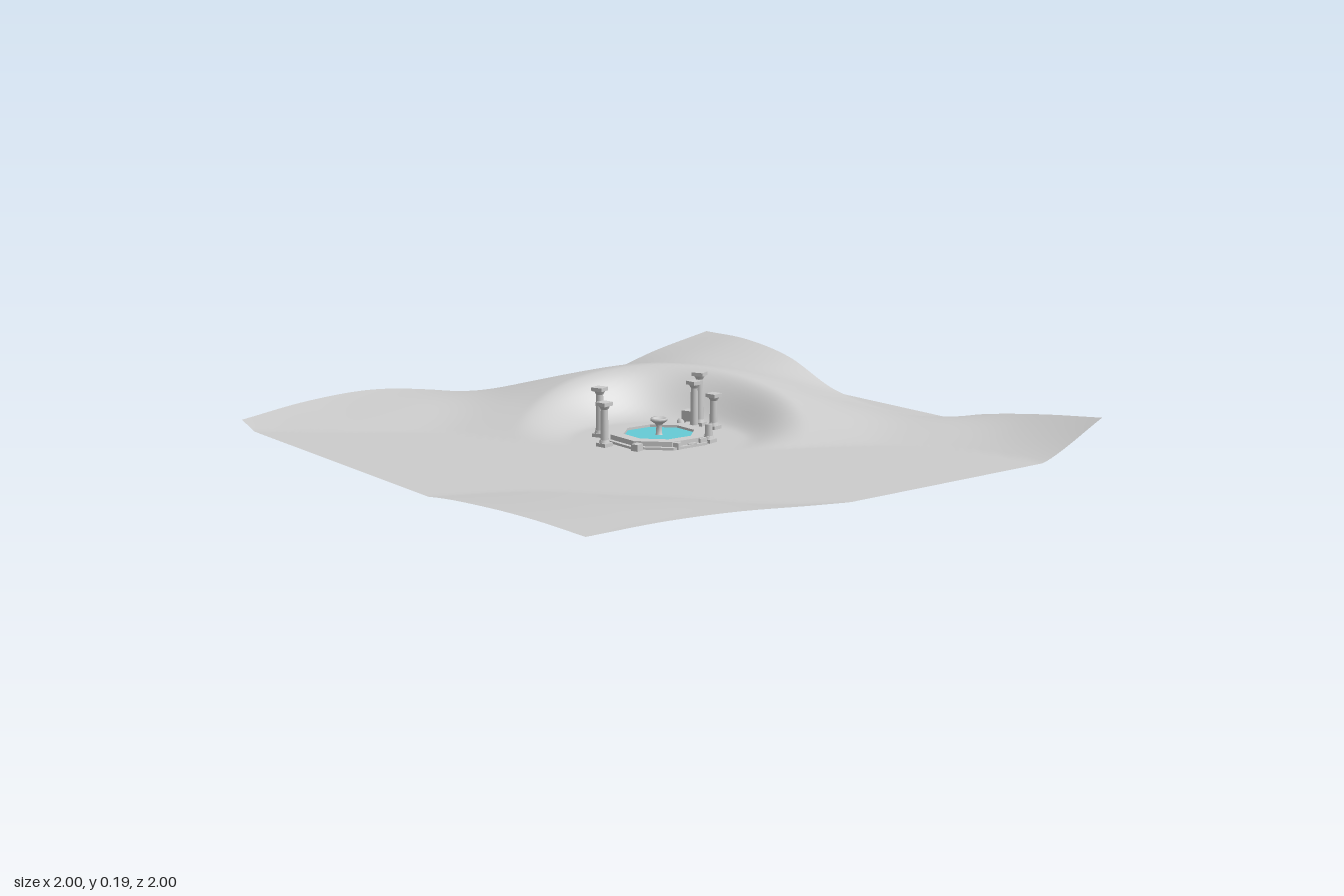
import * as THREE from 'three';

const FLOOR = 0.01;
const stone = new THREE.MeshStandardMaterial({ color: 0xcccccc, side: THREE.DoubleSide });
stone.name = 'paleStone';
const flatStone = stone;
const waterMat = new THREE.MeshStandardMaterial({ color: 0x66cbd6 });
waterMat.name = 'poolWater';

// Control heights in hundredths: rows from back to front, columns from -x to +x
const HILLS = [
  [2.5, 6, 7, 4, -1, -1.5, 1.5, 8, 13],
  [-4, 1, 5, 6, 8, 8, 7.5, 9.5, 13],
  [-8, -5, 0.3, 6.5, 13, 15, 12.5, 9, 9.5],
  [-8, -7, -2.5, 4, 13.5, 17, 14, 7.5, 1],
  [-4, -5, -4, 0, 8, 14, 11.5, 5, -1.5],
  [0.5, -1, -3, -4, -0.5, 4, 6.5, 4, -1.5],
  [3, 2, -1, -4, -5, -4, 0, 3.5, 4],
  [4.5, 4, 2, -2, -5, -6, -3.5, 1.5, 8],
  [5, 5, 3.8, 1.5, -0.8, -4, -4, 0.5, 11],
];

// Smooth cubic through evenly spaced values, t from 0 to 1
function cubic(v, t) {
  const n = v.length - 1;
  const i = Math.min(n - 1, Math.floor(t * n));
  const f = t * n - i;
  const b = v[i], c = v[i + 1];
  const a = i > 0 ? v[i - 1] : 2 * b - c;
  const d = i < n - 1 ? v[i + 2] : 2 * c - b;
  return b + 0.5 * f * (c - a + f * (2 * a - 5 * b + 4 * c - d + f * (3 * (b - c) + d - a)));
}

// Hills clamped to a flat plain, with a round hollow cut at the centre
function groundHeight(x, z) {
  const h = cubic(HILLS.map((row) => cubic(row, (x + 1) / 2)), (z + 1) / 2) / 100;
  return FLOOR + Math.max(0, h) * THREE.MathUtils.smoothstep(Math.hypot(x, z), 0.28, 0.48);
}

function add(parent, name, geometry, material, x = 0, y = 0, z = 0) {
  const mesh = new THREE.Mesh(geometry, material);
  mesh.name = name;
  mesh.position.set(x, y, z);
  parent.add(mesh);
  return mesh;
}

function makeTerrain() {
  const geo = new THREE.PlaneGeometry(2, 2, 110, 110).rotateX(-Math.PI / 2);
  const p = geo.attributes.position;
  for (let i = 0; i < p.count; i++) p.setY(i, groundHeight(p.getX(i), p.getZ(i)));
  geo.computeVertexNormals();
  return geo;
}

// Octagon given by the distance to its flat sides
function octagon(apothem, Kind = THREE.Shape) {
  const r = apothem / Math.cos(Math.PI / 8);
  const pts = [];
  for (let i = 0; i < 8; i++) {
    const a = (i + 0.5) * Math.PI / 4;
    pts.push(new THREE.Vector2(r * Math.cos(a), r * Math.sin(a)));
  }
  return new Kind(pts);
}

function octagonRing(outer, inner, height) {
  const shape = octagon(outer);
  shape.holes.push(octagon(inner, THREE.Path));
  return new THREE.ExtrudeGeometry(shape, { depth: height, bevelEnabled: false }).rotateX(-Math.PI / 2);
}

function makeFountain() {
  const g = new THREE.Group();
  g.name = 'fountain';
  add(g, 'poolStep', octagonRing(0.165, 0.14, 0.016), stone, 0, 0.002, 0);
  add(g, 'poolRim', octagonRing(0.15, 0.11, 0.032), stone, 0, 0.002, 0);
  add(g, 'water', new THREE.ShapeGeometry(octagon(0.112)).rotateX(-Math.PI / 2), waterMat, 0, 0.026, 0);
  const profile = [[0, 0], [0.02, 0], [0.02, 0.008], [0.01, 0.014], [0.009, 0.04], [0.014, 0.048],
    [0.028, 0.058], [0.028, 0.066], [0.02, 0.066], [0.012, 0.058], [0, 0.056]];
  const bowl = new THREE.LatheGeometry(profile.map(([r, y]) => new THREE.Vector2(r, y)), 12);
  add(g, 'fountainBowl', bowl, flatStone, 0, 0.014, 0);
  return g;
}

// Column with square base, tapered shaft and square capital; broken ones lose the capital
function makeColumn(x, z, top, turn, broken) {
  const g = new THREE.Group();
  g.name = broken ? 'brokenColumn' : 'column';
  g.position.set(x, 0, z);
  g.rotation.y = turn;
  add(g, 'base', new THREE.BoxGeometry(0.038, 0.016, 0.038), stone, 0, 0.014, 0);
  add(g, 'baseRing', new THREE.CylinderGeometry(0.015, 0.018, 0.01, 10), stone, 0, 0.027, 0);
  const shaftTop = broken ? top : top - 0.02;
  const length = shaftTop - 0.02;
  add(g, 'shaft', new THREE.CylinderGeometry(0.0115, 0.014, length, 10), stone, 0, 0.02 + length / 2, 0);
  if (!broken) {
    add(g, 'capitalRing', new THREE.CylinderGeometry(0.019, 0.012, 0.012, 10), stone, 0, top - 0.018, 0);
    add(g, 'capital', new THREE.BoxGeometry(0.04, 0.012, 0.04), stone, 0, top - 0.006, 0);
  }
  return g;
}

export function createModel() {
  const model = new THREE.Group();
  model.name = 'fountainRuins';
  add(model, 'terrain', makeTerrain(), stone);
  model.add(makeFountain());

  // Standing columns: x, z, top height, turn, broken
  const columns = [
    [-0.205, -0.02, 0.155, 0.2, false],
    [-0.13, -0.15, 0.175, 0.4, false],
    [0.17, -0.03, 0.18, 0.1, false],
    [0.24, -0.09, 0.193, 0.45, false],
    [0.245, -0.02, 0.13, 0.2, false],
    [0.1, 0.135, 0.07, 0.25, true],
  ];
  for (const c of columns) model.add(makeColumn(...c));

  // Fallen blocks: x, z, width, height, depth, turn
  const blocks = [
    [-0.16, 0.095, 0.03, 0.03, 0.025, 0.3],
    [-0.045, 0.155, 0.025, 0.03, 0.02, 0.5],
    [0.015, 0.15, 0.03, 0.02, 0.025, -0.2],
    [0.06, 0.145, 0.03, 0.03, 0.025, 0.1],
    [0.135, -0.11, 0.03, 0.025, 0.03, 0.6],
    [0.185, -0.075, 0.045, 0.025, 0.03, 0.7],
    [0.215, -0.115, 0.04, 0.06, 0.035, 0.35],
  ];
  for (const [x, z, w, h, d, turn] of blocks) {
    add(model, 'fallenBlock', new THREE.BoxGeometry(w, h, d), stone, x, h / 2 + 0.002, z).rotation.y = turn;
  }

  // Toppled column drum beside the pool
  const drum = add(model, 'fallenDrum', new THREE.CylinderGeometry(0.012, 0.013, 0.08, 10), stone, 0.17, 0.021, -0.1);
  drum.rotation.set(Math.PI / 2, 0, 0.6);
  return model;
}
